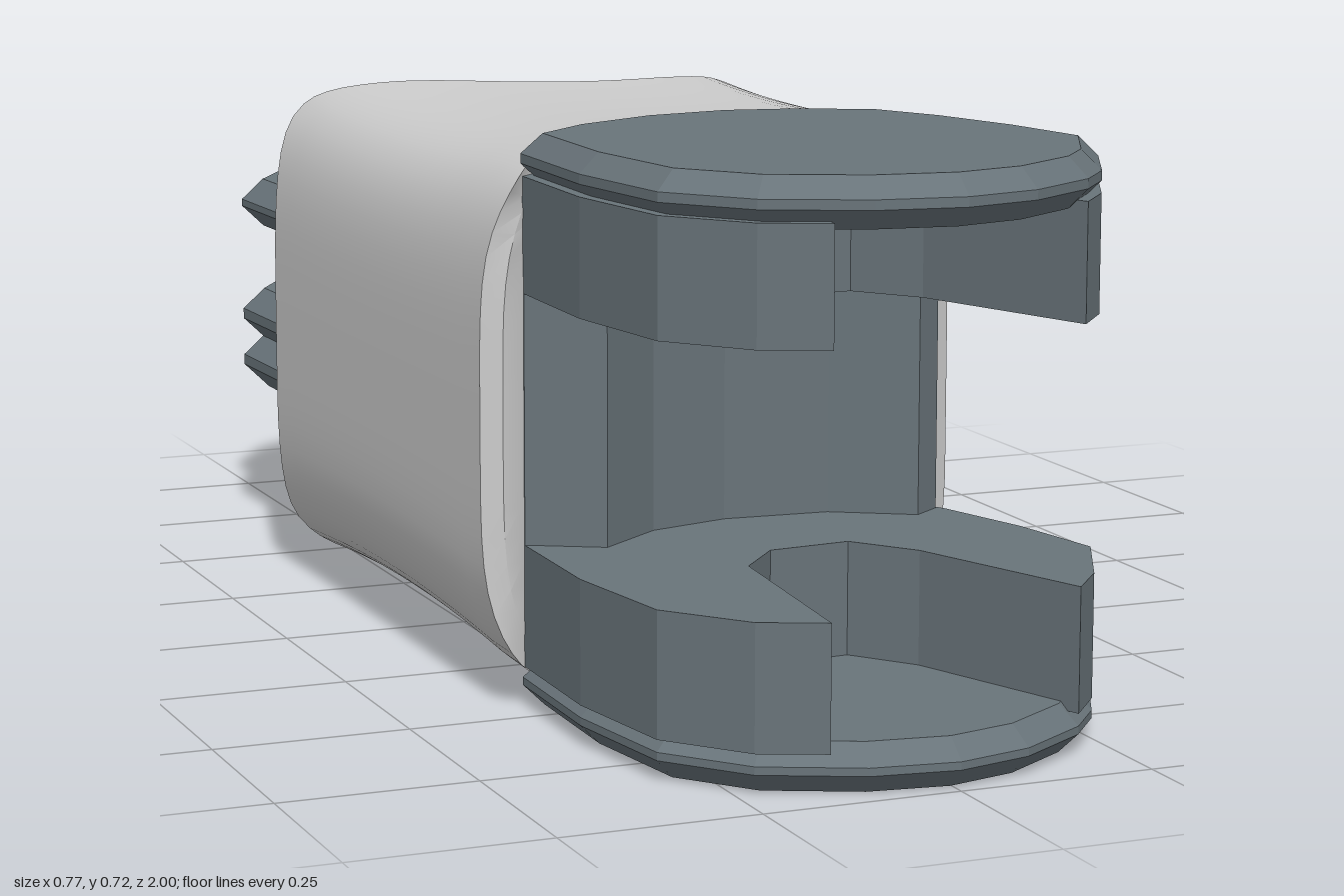
import * as THREE from 'three';
import { toCreasedNormals } from 'three/addons/utils/BufferGeometryUtils.js';

const dark = new THREE.MeshStandardMaterial({ color: 0x69747a, flatShading: true });
const grey = new THREE.MeshStandardMaterial({ color: 0xcccccc });

// Plan outlines as [x, z]
const FORK = [[-0.33, 0.44], [-0.335, 0.65], [-0.31, 0.83], [-0.23, 0.93], [-0.11, 0.985], [0, 1],
  [0.1, 0.975], [0.2, 0.91], [0.25, 0.85], [0.315, 0.72], [0.29, 0.58], [0.25, 0.45], [0.2, 0.35],
  [0.1, 0.3], [0, 0.28], [-0.12, 0.3], [-0.24, 0.36]];
// Same rim, with a slot open to the front that takes the hub of the next link
const FORK_SLOTTED = [[-0.33, 0.44], [-0.335, 0.65], [-0.31, 0.83], [-0.23, 0.93], [-0.15, 0.965],
  [-0.12, 0.66], [-0.06, 0.59], [0.05, 0.58], [0.11, 0.66], [0.2, 0.91], [0.25, 0.85],
  [0.315, 0.72], [0.29, 0.58], [0.25, 0.45], [0.2, 0.35], [0.1, 0.3], [0, 0.28], [-0.12, 0.3], [-0.24, 0.36]];
const DISC = [[0.02, -1], [-0.12, -0.97], [-0.25, -0.88], [-0.325, -0.76], [-0.32, -0.58], [-0.33, -0.36],
  [-0.2, -0.25], [0, -0.2], [0.16, -0.2], [0.25, -0.3], [0.35, -0.5], [0.385, -0.65], [0.355, -0.82],
  [0.25, -0.93], [0.13, -0.985]];
const FORK_WEB = [[-0.33, 0.2], [-0.33, 0.45], [-0.24, 0.5], [-0.15, 0.43], [-0.04, 0.4], [0.1, 0.41],
  [0.2, 0.47], [0.24, 0.44], [0.24, 0.2]];
const DISC_WEB = [[-0.28, -0.2], [-0.3, -0.45], [-0.12, -0.5], [-0.09, -0.6], [0.12, -0.61],
  [0.14, -0.5], [0.3, -0.45], [0.24, -0.2]];

// Horizontal slab from y0 to y1 with a chamfered rim
function slab(name, outline, y0, y1, bevel = 0) {
  const shape = new THREE.Shape(outline.map(([x, z]) => new THREE.Vector2(x, z)));
  const geo = new THREE.ExtrudeGeometry(shape, {
    depth: y1 - y0 - 2 * bevel, bevelEnabled: bevel > 0, bevelThickness: bevel,
    bevelSize: bevel, bevelOffset: -bevel, bevelSegments: 1,
  });
  geo.rotateX(Math.PI / 2).translate(0, y1 - bevel, 0);
  const mesh = new THREE.Mesh(geo, dark);
  mesh.name = name;
  return mesh;
}

// Rounded sleeve: a box squashed to a rounded section, both ends scooped out
function sleeve() {
  const geo = new THREE.BoxGeometry(2, 2, 2, 28, 20, 12);
  const p = geo.attributes.position;
  const front = new THREE.SplineCurve([[-0.39, 0.455], [-0.345, 0.46], [-0.25, 0.375], [-0.13, 0.305],
    [0, 0.285], [0.12, 0.3], [0.21, 0.355], [0.26, 0.385], [0.35, 0.345]].map((a) => new THREE.Vector2(...a))).getPoints(80);
  const back = new THREE.SplineCurve([[-0.39, -0.385], [-0.34, -0.41], [-0.25, -0.325], [-0.1, -0.24],
    [0.04, -0.21], [0.16, -0.235], [0.25, -0.29], [0.31, -0.295], [0.35, -0.265]].map((a) => new THREE.Vector2(...a))).getPoints(80);
  const zAt = (pts, x) => {
    const i = Math.max(1, pts.findIndex((q) => q.x >= x));
    const a = pts[i - 1], b = pts[i];
    return a.y + (b.y - a.y) * Math.min(1, Math.max(0, (x - a.x) / (b.x - a.x)));
  };
  for (let i = 0; i < p.count; i++) {
    const a = p.getX(i), b = p.getY(i), t = p.getZ(i);
    const m = Math.max(Math.abs(a), Math.abs(b));
    const n = (Math.abs(a) ** 4.5 + Math.abs(b) ** 4.5) ** (1 / 4.5);
    const k = n > 0 ? m / n : 1;
    const x = Math.min(0.349, -0.02 + 0.37 * a * k);
    const z = THREE.MathUtils.lerp(zAt(back, x), zAt(front, x), (t + 1) / 2);
    // slight waist in height, and a taper of the left wall towards the front
    const half = 0.337 + 0.12 * Math.min(0.16, z * z);
    const taper = x > 0 ? 1 - 0.17 * Math.max(0, z / 0.38) ** 2 : 1;
    p.setXYZ(i, x * taper, 0.365 + half * b * k, z);
  }
  const mesh = new THREE.Mesh(toCreasedNormals(geo, 0.7), grey);
  mesh.name = 'sleeve';
  return mesh;
}

export function createModel() {
  const model = new THREE.Group();
  model.add(sleeve());

  // Front fork: two cheeks, each a cover and a slotted inner layer
  const fork = new THREE.Group();
  fork.name = 'frontFork';
  fork.add(
    slab('upperCover', FORK, 0.66, 0.722, 0.025),
    slab('upperCheek', FORK_SLOTTED, 0.525, 0.67),
    slab('lowerCover', FORK, 0.005, 0.065, 0.025),
    slab('lowerCheek', FORK_SLOTTED, 0.055, 0.21),
    slab('forkWeb', FORK_WEB, 0.12, 0.6),
  );

  // Rear tongue: stacked discs around a hub
  const tongue = new THREE.Group();
  tongue.name = 'rearTongue';
  tongue.add(
    slab('upperDisc', DISC, 0.45, 0.52, 0.03),
    slab('middleDisc', DISC, 0.28, 0.355, 0.03),
    slab('lowerDisc', DISC, 0.205, 0.29, 0.035),
    slab('tongueWeb', DISC_WEB, 0.22, 0.5),
  );
  const hubProfile = [[0, 0.095], [0.075, 0.095], [0.08, 0.19], [0.1, 0.22], [0.1, 0.5],
    [0.11, 0.53], [0.075, 0.57], [0.065, 0.64], [0, 0.64]].map((a) => new THREE.Vector2(...a));
  const hub = new THREE.Mesh(new THREE.LatheGeometry(hubProfile, 8), dark);
  hub.name = 'hub';
  hub.position.set(0.02, 0, -0.62);
  tongue.add(hub);

  model.add(fork, tongue);
  return model;
}
